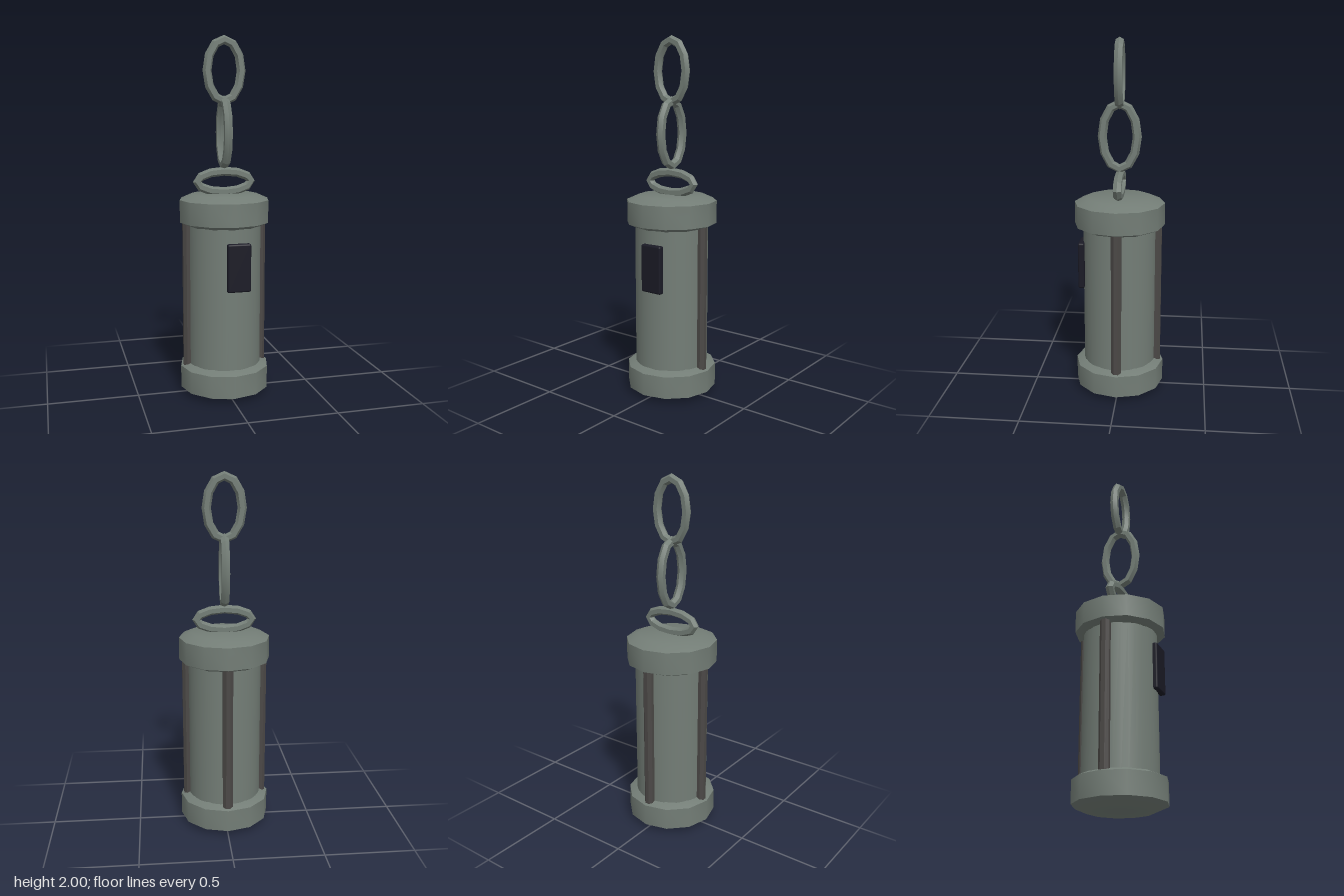
import * as THREE from 'three';
import { toCreasedNormals } from 'three/addons/utils/BufferGeometryUtils.js';
import { RoundedBoxGeometry } from 'three/addons/geometries/RoundedBoxGeometry.js';

export function createModel() {
  const model = new THREE.Group();
  model.name = 'hangingCanister';

  const material = (name, color, flatShading = false) => {
    const m = new THREE.MeshStandardMaterial({ color, flatShading });
    m.name = name;
    return m;
  };
  const greyMetal = material('greyMetal', 0x737d76);
  const darkMetal = material('darkMetal', 0x4b4846);
  const darkPanel = material('darkPanel', 0x1a1a25);

  const add = (name, geometry, mat, x = 0, y = 0, z = 0) => {
    const mesh = new THREE.Mesh(geometry, mat);
    mesh.name = name;
    mesh.position.set(x, y, z);
    model.add(mesh);
    return mesh;
  };

  // Twelve-sided end caps, bevelled on both rims
  const capProfile = [[0, 0], [0.185, 0], [0.253, 0.03], [0.253, 0.155], [0.185, 0.185], [0, 0.185]]
    .map(([r, y]) => new THREE.Vector2(r, y));
  const capGeometry = toCreasedNormals(new THREE.LatheGeometry(capProfile, 12), 0.6);
  add('bottomCap', capGeometry, greyMetal);
  add('topCap', capGeometry, greyMetal, 0, 0.95, 0);

  // Smooth cylindrical body
  add('body', new THREE.CylinderGeometry(0.205, 0.205, 0.9, 32, 1, true), greyMetal, 0, 0.57, 0);

  // Upright rods on the left, right and back
  const rodGeometry = toCreasedNormals(
    new THREE.CylinderGeometry(0.03, 0.03, 0.9, 8).rotateY(Math.PI / 8), 0.3);
  for (const [name, x, z] of [['leftRod', 0.21, 0], ['rightRod', -0.21, 0], ['backRod', 0, -0.21]]) {
    add(name, rodGeometry, darkMetal, x, 0.57, z);
  }

  // Dark panel on the front
  add('frontPanel', new RoundedBoxGeometry(0.132, 0.266, 0.036, 2, 0.01), darkPanel, 0.03, 0.752, 0.209);

  // Chain links: a hexagonal tube bent round an ellipse of half-axes a and b
  const linkGeometry = (a, b) => {
    const g = new THREE.TorusGeometry(1, 0.025, 6, 12);
    const p = g.attributes.position;
    for (let i = 0; i < p.count; i++) {
      const u = Math.atan2(p.getY(i), p.getX(i));
      const d = Math.hypot(p.getX(i), p.getY(i)) - 1;
      const n = new THREE.Vector2(Math.cos(u) / a, Math.sin(u) / b).normalize();
      p.setXY(i, a * Math.cos(u) + d * n.x, b * Math.sin(u) + d * n.y);
    }
    return toCreasedNormals(g, 0.4);
  };
  add('anchorRing', linkGeometry(0.153, 0.057), greyMetal, 0, 1.203, 0);
  add('middleLink', linkGeometry(0.096, 0.178), greyMetal, 0, 1.473, 0).rotation.y = Math.PI / 2;
  add('topLink', linkGeometry(0.096, 0.165), greyMetal, 0, 1.81, 0);

  return model;
}
